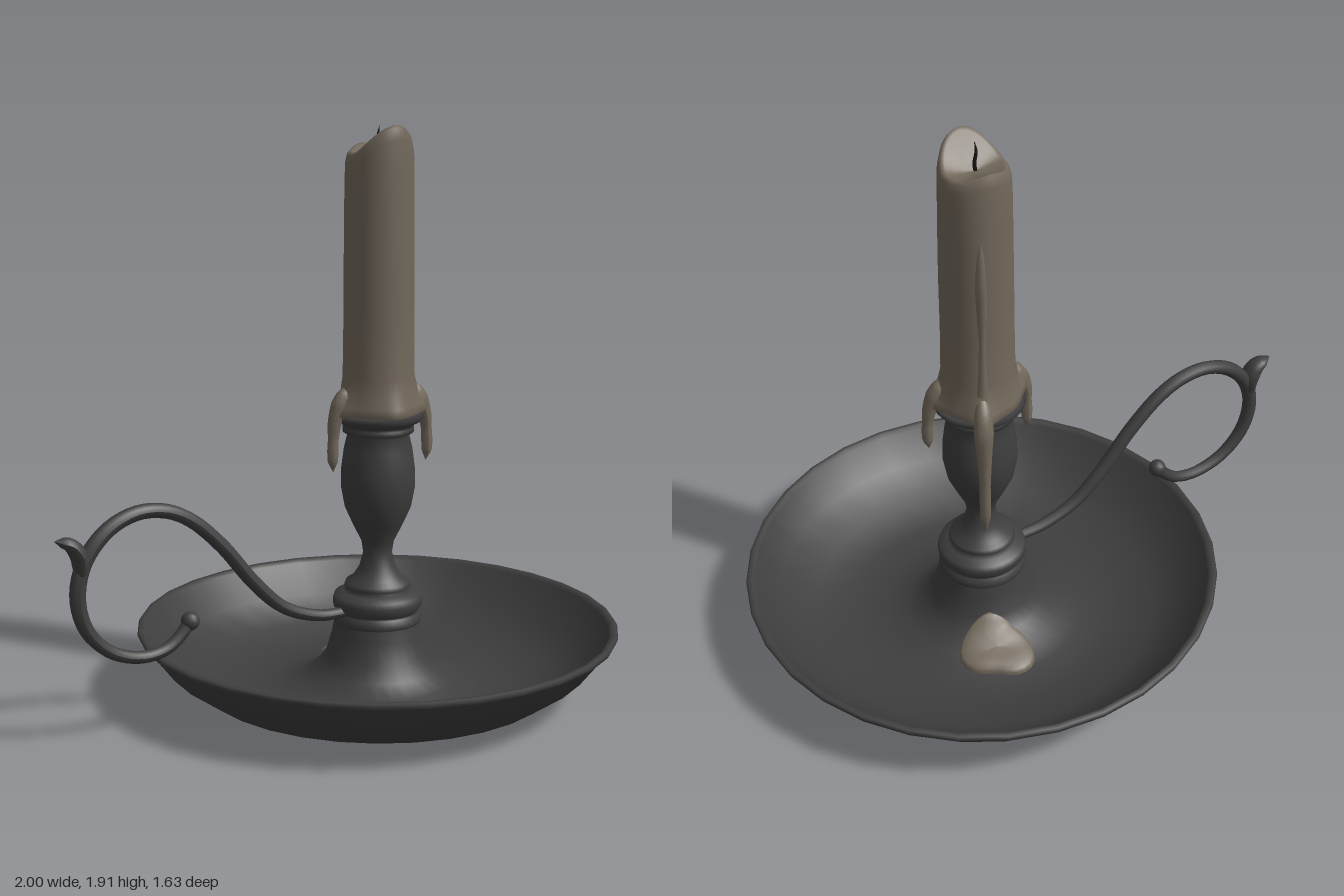
import * as THREE from 'three';

const metal = new THREE.MeshStandardMaterial({ color: 0x3e3e3e });
metal.name = 'dark metal';
const wax = new THREE.MeshStandardMaterial({ color: 0x72685b });
wax.name = 'old wax';
const soot = new THREE.MeshStandardMaterial({ color: 0x141414 });
soot.name = 'burnt wick';

const AXIS = 0.18; // x of the candlestick axis

function add(parent, name, geometry, material, x = 0, y = 0, z = 0) {
  const mesh = new THREE.Mesh(geometry, material);
  mesh.name = name;
  mesh.position.set(x, y, z);
  parent.add(mesh);
  return mesh;
}

const lathe = (points, sides) =>
  new THREE.LatheGeometry(points.map(([r, y]) => new THREE.Vector2(r, y)), sides);

// Tube whose radius follows a list of evenly spaced values
function taperedTube(points, radii, segments, sides) {
  const curve = new THREE.CatmullRomCurve3(points.map((p) => new THREE.Vector3(...p)));
  const geo = new THREE.TubeGeometry(curve, segments, 1, sides);
  const pos = geo.attributes.position;
  const v = new THREE.Vector3();
  for (let i = 0; i <= segments; i++) {
    const c = curve.getPointAt(i / segments);
    const f = (i / segments) * (radii.length - 1);
    const k = Math.min(Math.floor(f), radii.length - 2);
    const r = THREE.MathUtils.lerp(radii[k], radii[k + 1], f - k);
    for (let j = 0; j <= sides; j++) {
      const n = i * (sides + 1) + j;
      v.fromBufferAttribute(pos, n).sub(c).multiplyScalar(r).add(c);
      pos.setXYZ(n, v.x, v.y, v.z);
    }
  }
  geo.computeVertexNormals();
  return geo;
}

// Closed rings joined upwards; place(ring, angle) returns [x, y, z]
function loft(rings, sides, place) {
  const pos = [];
  const index = [];
  for (let i = 0; i < rings; i++) {
    for (let j = 0; j < sides; j++) {
      pos.push(...place(i, (j / sides) * Math.PI * 2));
      if (i === rings - 1) continue;
      const a = i * sides + j;
      const b = i * sides + ((j + 1) % sides);
      index.push(a, a + sides, b, b, a + sides, b + sides);
    }
  }
  const geo = new THREE.BufferGeometry();
  geo.setAttribute('position', new THREE.Float32BufferAttribute(pos, 3));
  geo.setIndex(index);
  geo.computeVertexNormals();
  return geo;
}

// Dish surface, from the central cone out to the rim
const dishTop = [
  [0.145, 0.25], [0.155, 0.2], [0.175, 0.13], [0.21, 0.08], [0.27, 0.042], [0.35, 0.022],
  [0.46, 0.018], [0.6, 0.05], [0.71, 0.125], [0.785, 0.225], [0.795, 0.237],
];
const dishBottom = [
  [0.812, 0.237], [0.817, 0.228], [0.812, 0.216], [0.797, 0.21], [0.72, 0.11], [0.61, 0.032],
  [0.46, 0.002], [0.35, 0], [0.26, 0.025], [0.2, 0.065], [0.165, 0.12], [0.147, 0.2], [0.142, 0.235], [0, 0.235],
];
function dishHeight(r) {
  for (let i = 1; i < dishTop.length; i++) {
    const [r0, y0] = dishTop[i - 1];
    const [r1, y1] = dishTop[i];
    if (r <= r1) return THREE.MathUtils.mapLinear(Math.max(r, r0), r0, r1, y0, y1);
  }
  return 0.237;
}

function buildHolder(group) {
  add(group, 'dish', lathe([...dishTop, ...dishBottom].reverse(), 32), metal, AXIS);

  // Turned stem with base mouldings, bulb and drip collar
  add(group, 'stem', lathe([
    [0, 0.235], [0.145, 0.235], [0.149, 0.25], [0.147, 0.268], [0.138, 0.275], [0.138, 0.282],
    [0.15, 0.295], [0.152, 0.318], [0.146, 0.336], [0.118, 0.347], [0.105, 0.355], [0.113, 0.366],
    [0.108, 0.38], [0.085, 0.395], [0.062, 0.43], [0.049, 0.48], [0.055, 0.52], [0.085, 0.58],
    [0.112, 0.64], [0.125, 0.71], [0.124, 0.77], [0.115, 0.84], [0.103, 0.89], [0.12, 0.9],
    [0.12, 0.915], [0.112, 0.922], [0.14, 0.936], [0.153, 0.95], [0.148, 0.966], [0, 0.966],
  ], 32), metal, AXIS);

  // Scrolled handle
  const handle = new THREE.Group();
  handle.name = 'handle';
  group.add(handle);
  add(handle, 'handleScroll', taperedTube([
    [0.06, 0.288, 0], [-0.06, 0.295, 0], [-0.19, 0.345, 0], [-0.3, 0.445, 0], [-0.42, 0.59, 0],
    [-0.53, 0.69, 0], [-0.62, 0.733, 0], [-0.72, 0.74, 0], [-0.82, 0.7, 0], [-0.9, 0.61, 0],
    [-0.927, 0.5, 0], [-0.9, 0.39, 0], [-0.82, 0.305, 0], [-0.71, 0.268, 0], [-0.62, 0.282, 0],
    [-0.565, 0.325, 0], [-0.54, 0.358, 0],
  ], [0.018, 0.021, 0.024, 0.024, 0.024, 0.024, 0.026, 0.026, 0.022, 0.02, 0.022], 72, 10), metal);
  add(handle, 'handleKnob', new THREE.SphereGeometry(0.031, 12, 8), metal, -0.538, 0.358, 0);
  const spur = add(handle, 'handleSpur', taperedTube(
    [[-0.915, 0.57, 0], [-0.918, 0.63, 0], [-0.945, 0.67, 0], [-0.975, 0.682, 0], [-1, 0.69, 0]],
    [0.018, 0.025, 0.027, 0.024, 0.018, 0], 16, 10), metal);
  spur.scale.z = 1.5;
}

// Angles around the axis where wax has run over the collar, with strength
const runs = [[Math.PI + 0.05, 1], [0.22, 1], [-1.17, 1], [1.7, 0.4]];
function runBump(angle) {
  return runs.reduce((sum, [a, s]) => {
    const d = Math.atan2(Math.sin(angle - a), Math.cos(angle - a));
    return sum + s * Math.exp(-((d / 0.3) ** 2));
  }, 0);
}

function buildCandle(group) {
  // Rings: height, radius, run bulge, share of the raised front lip
  const rings = [
    [0.955, 0.09, 0, 0], [0.95, 0.125, 0.028, 0], [0.968, 0.14, 0.034, 0], [0.995, 0.136, 0.028, 0],
    [1.03, 0.126, 0.015, 0], [1.09, 0.119, 0.004, 0], [1.25, 0.117, 0.003, 0], [1.45, 0.116, 0.004, 0],
    [1.62, 0.115, 0.002, 0.1], [1.73, 0.114, 0, 0.5], [1.79, 0.112, 0, 0.85], [1.815, 0.106, 0, 0.98],
    [1.824, 0.097, 0, 1], [1.822, 0.088, 0, 0.92], [1.815, 0.06, 0, 0.55], [1.812, 0.03, 0, 0.25], [1.812, 0, 0, 0],
  ];
  add(group, 'candle', loft(rings.length, 48, (i, a) => {
    const [y, r, bulge, lip] = rings[i];
    const R = r + bulge * runBump(a);
    const rise = 0.09 * Math.max(0, Math.sin(a)) ** 1.5 + 0.025 * Math.max(0, -Math.sin(a)) ** 4;
    return [R * Math.cos(a), y + lip * rise, R * Math.sin(a)];
  }), wax, AXIS);

  add(group, 'wick', taperedTube(
    [[0, 1.8, 0], [0.004, 1.84, 0], [-0.004, 1.875, 0.003], [0.002, 1.912, 0.004]],
    [0.006, 0.006, 0.005, 0], 10, 6), soot, AXIS - 0.005);

  // Hanging drips, drawn outwards along +x and turned into place
  const drip = (name, angle, tip, bow) => {
    const drop = 0.95 - tip;
    const mesh = add(group, name, taperedTube([
      [0.105, 1.06, 0], [0.145, 1.0, 0], [0.165, 0.95, 0], [0.168 + bow, 0.95 - drop * 0.35, 0],
      [0.17 + bow, 0.95 - drop * 0.7, 0], [0.172, tip, 0],
    ], [0.012, 0.03, 0.032, 0.026, 0.022, 0.018, 0.019, 0.018, 0], 28, 10), wax, AXIS);
    mesh.rotation.y = -angle;
  };
  drip('rightDrip', runs[0][0], 0.775, 0.004);
  drip('leftDrip', runs[1][0], 0.785, 0.006);
  drip('backDrip', runs[2][0], 0.52, 0.006);

  // Thin run of wax down the back of the candle
  add(group, 'backRun', taperedTube(
    [[0.04, 1.66, -0.104], [0.042, 1.5, -0.107], [0.04, 1.3, -0.106], [0.045, 1.06, -0.113]],
    [0, 0.014, 0.02, 0.017, 0.012, 0.014, 0.02], 20, 8), wax, AXIS);

  // Wax puddle draped over the dish
  const steps = [[1, -0.006], [0.99, 0.01], [0.93, 0.02], [0.75, 0.026], [0.5, 0.028], [0.25, 0.028], [0, 0.028]];
  add(group, 'waxPuddle', loft(steps.length, 28, (i, a) => {
    const [t, h] = steps[i];
    const R = t * (0.107 + 0.022 * Math.cos(2 * a - 1.1) + 0.005 * Math.cos(3 * a));
    const x = 0.26 + R * Math.cos(a);
    const z = -0.25 + R * Math.sin(a);
    return [x, dishHeight(Math.hypot(x - AXIS, z)) + h, z];
  }), wax);
}

export function createModel() {
  const group = new THREE.Group();
  group.name = 'candleHolder';
  buildHolder(group);
  buildCandle(group);
  return group;
}
